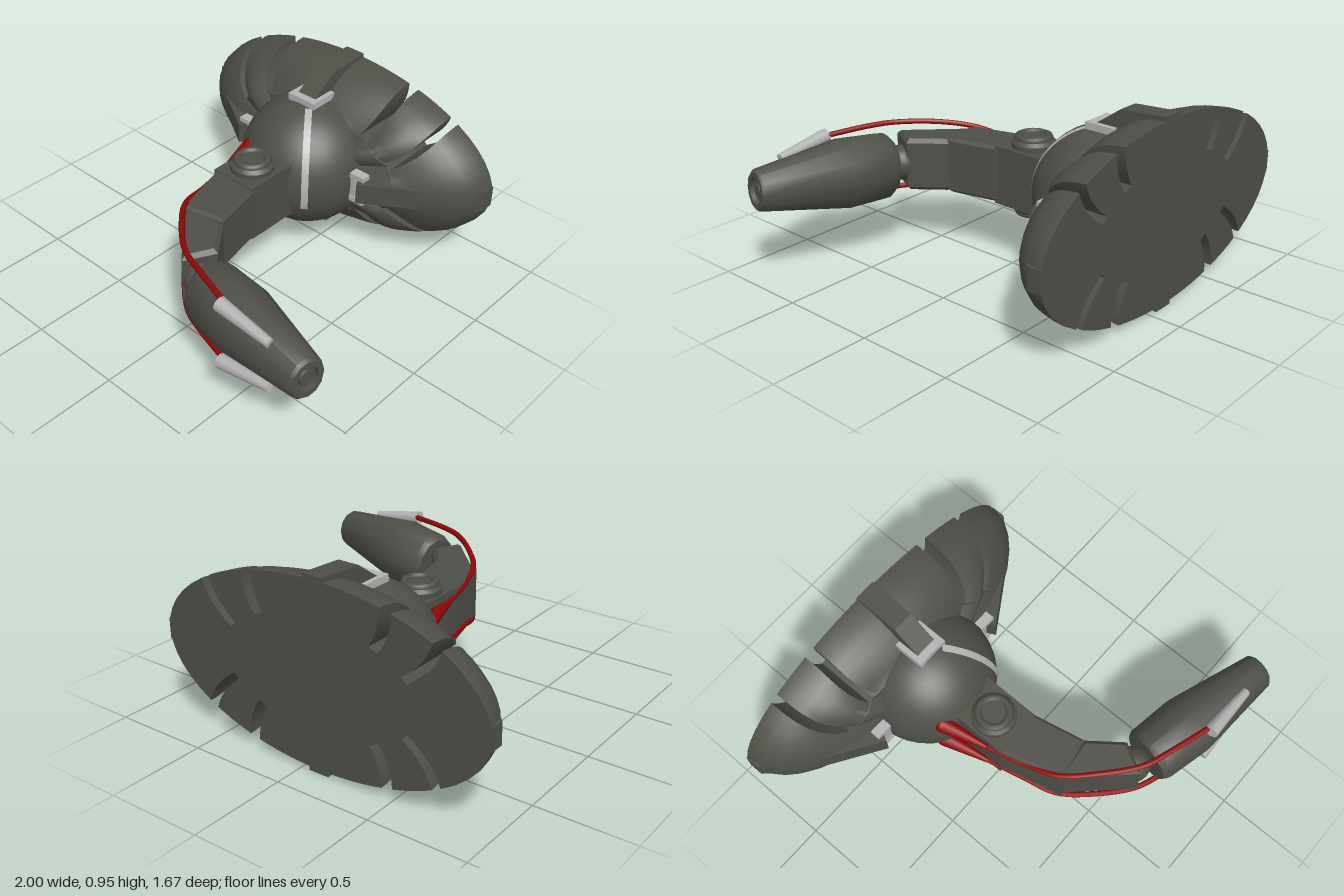
import * as THREE from 'three';
import { toCreasedNormals } from 'three/addons/utils/BufferGeometryUtils.js';

const dark = new THREE.MeshStandardMaterial({ color: 0x4f4f48 });
dark.name = 'dark metal';
const grey = new THREE.MeshStandardMaterial({ color: 0xb4b4b4 });
grey.name = 'light grey';
const red = new THREE.MeshStandardMaterial({ color: 0x8e0808 });
red.name = 'red cable';

const CX = -0.1, CY = 0.48, BACK = -0.84;
const V = (x, y, z) => new THREE.Vector3(x, y, z);

function add(parent, name, geo, mat, x = 0, y = 0, z = 0) {
  const m = new THREE.Mesh(geo, mat);
  m.name = name;
  m.position.set(x, y, z);
  parent.add(m);
  return m;
}

// Outline in x and z, extruded along y between y0 and y1
function prism(points, y0, y1, bevel = 0) {
  const shape = new THREE.Shape(points.map(p => new THREE.Vector2(p[0], p[1])));
  const g = new THREE.ExtrudeGeometry(shape, {
    depth: y1 - y0 - 2 * bevel, bevelEnabled: bevel > 0, bevelSize: bevel,
    bevelThickness: bevel, bevelOffset: -bevel, bevelSegments: 1,
  });
  g.rotateX(Math.PI / 2);
  g.translate(0, y1 - bevel, 0);
  return g;
}

// Tapered round bar between two points
function taper(a, b, ra, rb, sides = 12) {
  const d = b.clone().sub(a);
  const g = new THREE.CylinderGeometry(rb, ra, d.length(), sides);
  g.applyQuaternion(new THREE.Quaternion().setFromUnitVectors(V(0, 1, 0), d.clone().normalize()));
  const c = a.clone().add(b).multiplyScalar(0.5);
  return g.translate(c.x, c.y, c.z);
}

// One solid petal of the oval shell, between two slots [outer angle, inner angle]
function petal(s0, s1) {
  const rad = Math.PI / 180, inner = 0.6, cols = 12;
  const rows = [0.02, 0.3, 0.45, inner, inner + 0.001, 0.7, 0.8, 0.88, 0.94, 0.98, 1];
  const n = rows.length, pos = [], idx = [];
  const edge = (slot, s, side) => {
    if (s <= inner) return slot[1] * rad;
    const f = (s - inner) / (1 - inner);
    return (slot[1] + (slot[0] - slot[1]) * f + side * (3.2 - 1.2 * f)) * rad;
  };
  for (let j = 0; j <= cols; j++) {
    for (let i = 0; i < 2 * n; i++) {
      const s = rows[i < n ? i : 2 * n - 1 - i], v = j / cols;
      const t = THREE.MathUtils.lerp(edge(s0, s, 1), edge(s1, s, -1), v);
      const puff = 0.03 * Math.sin(Math.PI * v) * Math.sin(Math.PI * s);
      const z = i < n ? BACK + 0.02 + 0.36 * Math.sqrt(1 - s * s) + puff : BACK;
      pos.push(CX + 0.9 * s * Math.cos(t), CY + 0.455 * s * Math.sin(t), z);
    }
  }
  const id = (i, j) => j * 2 * n + i;
  for (let j = 0; j < cols; j++) {
    for (let i = 0; i < 2 * n - 1; i++) {
      idx.push(id(i, j), id(i + 1, j), id(i, j + 1), id(i + 1, j), id(i + 1, j + 1), id(i, j + 1));
    }
  }
  // Walls along both slots
  for (let k = 0; k < n - 1; k++) {
    for (const j of [0, cols]) {
      const f = id(k, j), f2 = id(k + 1, j), b = id(2 * n - 1 - k, j), b2 = id(2 * n - 2 - k, j);
      if (j === 0) idx.push(f, b, b2, f, b2, f2);
      else idx.push(f, b2, b, f, f2, b2);
    }
  }
  const g = new THREE.BufferGeometry();
  g.setAttribute('position', new THREE.Float32BufferAttribute(pos, 3));
  g.setIndex(idx);
  return toCreasedNormals(g, 0.7);
}

export function createModel() {
  const root = new THREE.Group();
  root.name = 'wall mounted turret';

  // Slotted oval shell
  const shell = new THREE.Group();
  shell.name = 'shell';
  root.add(shell);
  const slots = [[45, 28], [65, 54], [115, 126], [135, 152], [225, 208], [245, 234], [295, 306], [315, 332]];
  slots.forEach((s, i) => {
    const next = i < 7 ? slots[i + 1] : slots[0].map(a => a + 360);
    add(shell, 'petal', petal(s, next), dark);
  });

  // Four straps with U-shaped brackets
  const sideProfile = [[0.9, BACK], [0.9, -0.77], [0.74, -0.61], [0.40, -0.39], [0.37, -0.45], [0.4, -0.6], [0.6, BACK]];
  const tallProfile = [[0.475, BACK], [0.46, -0.6], [0.36, -0.46], [0.33, -0.42], [0.3, -0.5], [0.3, BACK]];
  for (let q = 0; q < 4; q++) {
    const g = new THREE.Group();
    g.name = 'strapAssembly';
    g.position.set(CX, CY, 0);
    g.rotation.z = q * Math.PI / 2;
    root.add(g);
    const tall = q % 2 === 1;
    add(g, 'strap', prism(tall ? tallProfile : sideProfile, -0.055, 0.055), dark);
    add(g, 'bracketBar', new THREE.BoxGeometry(0.035, 0.16, 0.04), grey, 0.352, 0, -0.445);
    for (const s of [-1, 1]) {
      if (tall) add(g, 'bracketLeg', new THREE.BoxGeometry(0.035, 0.025, 0.16), grey, 0.352, s * 0.07, -0.502);
      else add(g, 'bracketLeg', new THREE.BoxGeometry(0.085, 0.025, 0.05), grey, 0.377, s * 0.07, -0.445);
    }
  }

  // Dome with its curved stripe
  add(root, 'dome', new THREE.SphereGeometry(0.345, 32, 24), dark, CX, CY, -0.49);
  const band = new THREE.CylinderGeometry(0.35, 0.35, 0.035, 24, 1, true, Math.PI / 2 - 0.3, 1.6);
  band.rotateX(Math.PI / 2);
  const stripe = add(root, 'domeStripe', band, grey, CX, CY, -0.49);
  stripe.rotation.y = -0.9;

  // Neck block and pivot
  add(root, 'neck', new THREE.BoxGeometry(0.25, 0.3, 0.3), dark, -0.085, 0.475, -0.07);
  const knob = [[0, -0.195], [0.085, -0.195], [0.11, -0.17], [0.11, 0.17], [0.085, 0.195], [0, 0.195]];
  add(root, 'pivot', toCreasedNormals(new THREE.LatheGeometry(knob.map(p => new THREE.Vector2(...p)), 24), 0.5),
    dark, -0.09, CY, -0.06);
  for (const s of [-1, 1]) {
    const ring = add(root, 'pivotRing', new THREE.TorusGeometry(0.075, 0.02, 8, 24), dark, -0.09, CY + s * 0.19, -0.06);
    ring.rotation.x = Math.PI / 2;
  }

  // Bent arm and ball joint
  add(root, 'lowerArm', prism([[-0.21, 0.06], [0.04, 0.06], [0.1, 0.34], [-0.12, 0.39]], 0.33, 0.62, 0.015), dark);
  add(root, 'upperArm', prism([[-0.12, 0.37], [0.1, 0.335], [0.23, 0.5], [0.15, 0.65]], 0.335, 0.61, 0.02), dark);
  add(root, 'ballJoint', new THREE.SphereGeometry(0.09, 20, 14), dark, 0.2, 0.465, 0.57);

  // Tapering head with a recessed muzzle
  const profile = [[0, 0], [0.13, 0], [0.148, 0.03], [0.157, 0.26], [0.092, 0.71], [0.08, 0.725],
    [0.058, 0.725], [0.055, 0.7], [0.035, 0.7], [0.03, 0.715], [0, 0.715]];
  const headGeo = new THREE.LatheGeometry(profile.map(p => new THREE.Vector2(...p)), 12);
  headGeo.rotateZ(-Math.PI / 2);
  headGeo.scale(1, 1.15, 1);
  const head = add(root, 'head', toCreasedNormals(headGeo, 0.7), dark, 0.27, 0.465, 0.6);
  head.rotation.set(0, -0.2, 0.05);

  // Upper and lower cables, their sockets and the light fins
  for (const s of [-1, 1]) {
    const y = d => CY + s * d;
    const path = [V(-0.22, y(0.1), 0), V(-0.17, y(0.11), 0.2), V(-0.12, y(0.14), 0.36), V(0, y(0.165), 0.5),
      V(0.17, y(0.175), 0.64), V(0.3, y(0.178), 0.69), V(0.53, y(0.17), 0.76)];
    add(root, 'cable', new THREE.TubeGeometry(new THREE.CatmullRomCurve3(path), 40, 0.014, 8), red);
    add(root, 'cableSocket', taper(V(-0.27, y(0.1), -0.23), V(-0.22, y(0.1), 0.01), 0.042, 0.012), red);
    add(root, 'socketEnd', new THREE.SphereGeometry(0.042, 14, 10), red, -0.27, y(0.1), -0.23);
    add(root, 'fin', taper(V(0.51, y(0.165), 0.775), V(0.8, y(0.125), 0.775), 0.036, 0.022, 8), grey);
  }
  return root;
}
